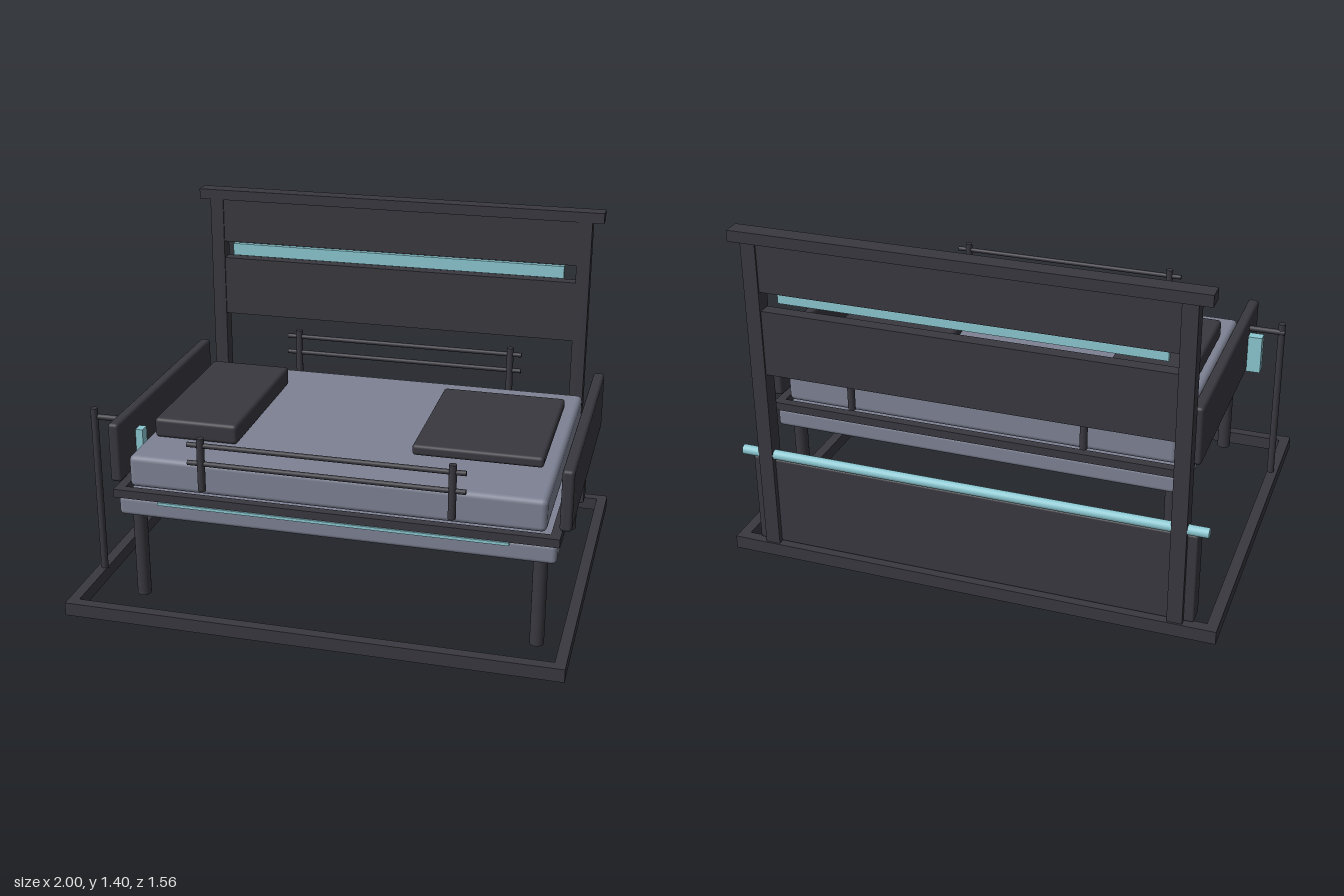
import * as THREE from 'three';
import { RoundedBoxGeometry } from 'three/addons/geometries/RoundedBoxGeometry.js';

const material = (name, color) => {
  const m = new THREE.MeshStandardMaterial({ color });
  m.name = name;
  return m;
};

export function createModel() {
  const bed = new THREE.Group();
  bed.name = 'adjustableBed';
  const dark = material('charcoal', 0x39383f);
  const grey = material('slateGrey', 0x7d8294);
  const teal = material('paleTeal', 0x8cc8d2);

  const add = (name, geometry, mat, parent = bed) => {
    const mesh = new THREE.Mesh(geometry, mat);
    mesh.name = name;
    parent.add(mesh);
    return mesh;
  };

  // Box between two extents per axis; a radius rounds its edges
  const box = (name, mat, [x0, x1], [y0, y1], [z0, z1], radius = 0, parent = bed) => {
    const size = [x1 - x0, y1 - y0, z1 - z0];
    const geometry = radius
      ? new RoundedBoxGeometry(...size, 3, radius)
      : new THREE.BoxGeometry(...size);
    const mesh = add(name, geometry, mat, parent);
    mesh.position.set((x0 + x1) / 2, (y0 + y1) / 2, (z0 + z1) / 2);
    return mesh;
  };

  // Round bars, upright or along x
  const upright = (name, mat, r, x, z, [y0, y1], parent = bed) => {
    const mesh = add(name, new THREE.CylinderGeometry(r, r, y1 - y0, 20), mat, parent);
    mesh.position.set(x, (y0 + y1) / 2, z);
    return mesh;
  };
  const crossbar = (name, mat, r, [x0, x1], y, z, parent = bed) => {
    const mesh = add(name, new THREE.CylinderGeometry(r, r, x1 - x0, 20), mat, parent);
    mesh.rotation.z = Math.PI / 2;
    mesh.position.set((x0 + x1) / 2, y, z);
    return mesh;
  };

  // Rectangular ring of four bars
  const ring = (name, mat, [x0, x1], y, [z0, z1], w) => {
    const group = new THREE.Group();
    group.name = name;
    bed.add(group);
    for (const z of [z0, z1 - w]) box('longBar', mat, [x0, x1], y, [z, z + w], 0, group);
    for (const x of [x0, x1 - w]) box('shortBar', mat, [x, x + w], y, [z0 + w, z1 - w], 0, group);
  };

  // Floor frame
  ring('floorFrame', dark, [-1, 1], [0, 0.055], [-0.78, 0.78], 0.044);

  // Rear wall: low panel, posts, boards, cap and light strip
  box('lowerPanel', dark, [-0.907, 0.902], [0.055, 0.435], [-0.75, -0.672], 0.008);
  for (const x of [-0.838, 0.835])
    box('wallPost', dark, [x - 0.03, x + 0.03], [0.055, 1.36], [-0.772, -0.706]);
  box('upperBoard', dark, [-0.81, 0.806], [1.165, 1.36], [-0.765, -0.712]);
  box('middleBoard', dark, [-0.81, 0.806], [0.82, 1.087], [-0.765, -0.712]);
  box('wallCap', dark, [-0.918, 0.914], [1.36, 1.405], [-0.778, -0.705]);
  box('lightStrip', teal, [-0.76, 0.755], [1.108, 1.162], [-0.72, -0.696]);
  crossbar('wallRod', teal, 0.02, [-0.948, 0.94], 0.46, -0.75);

  // Legs
  for (const x of [-0.725, 0.87])
    for (const z of [0.612, -0.407]) upright('leg', dark, 0.028, x, z, [0.055, 0.43]);

  // Platform, bed frame and mattress
  box('platform', grey, [-0.785, 0.935], [0.425, 0.506], [-0.475, 0.678], 0.018);
  ring('bedFrame', dark, [-0.8, 0.945], [0.504, 0.538], [-0.487, 0.69], 0.038);
  box('sideStrip', teal, [-0.615, 0.76], [0.493, 0.505], [0.675, 0.697]);
  box('mattress', grey, [-0.745, 0.89], [0.538, 0.67], [-0.45, 0.654], 0.022);

  // End boards
  box('headboard', dark, [-0.836, -0.79], [0.54, 0.786], [-0.43, 0.63], 0.014);
  box('footboard', dark, [0.933, 0.979], [0.54, 0.786], [-0.43, 0.63], 0.014);

  // Pillow, folded blanket and motor housing
  box('pillow', dark, [-0.713, -0.368], [0.67, 0.752], [-0.257, 0.45], 0.016);
  box('blanket', dark, [0.33, 0.84], [0.69, 0.734], [-0.225, 0.416], 0.014);
  box('motorHousing', dark, [0.075, 0.758], [0.291, 0.408], [-0.182, 0.39], 0.016);

  // Side rails: two posts and two bars each
  for (const z of [0.75, -0.552]) {
    const rail = new THREE.Group();
    rail.name = 'sideRail';
    bed.add(rail);
    for (const x of [-0.407, 0.555]) upright('railPost', dark, 0.015, x, z, [0.605, 0.82], rail);
    for (const y of [0.79, 0.716]) crossbar('railBar', dark, 0.01, [-0.46, 0.605], y, z, rail);
  }

  // Control stand beside the headboard
  upright('standPole', dark, 0.015, -0.97, 0.45, [0.03, 0.77]);
  crossbar('standArm', dark, 0.012, [-0.985, -0.8], 0.732, 0.445);
  box('controlBox', teal, [-0.895, -0.76], [0.54, 0.702], [0.42, 0.465]);
  box('controlButton', teal, [-0.875, -0.832], [0.59, 0.628], [0.46, 0.48]);

  return bed;
}
